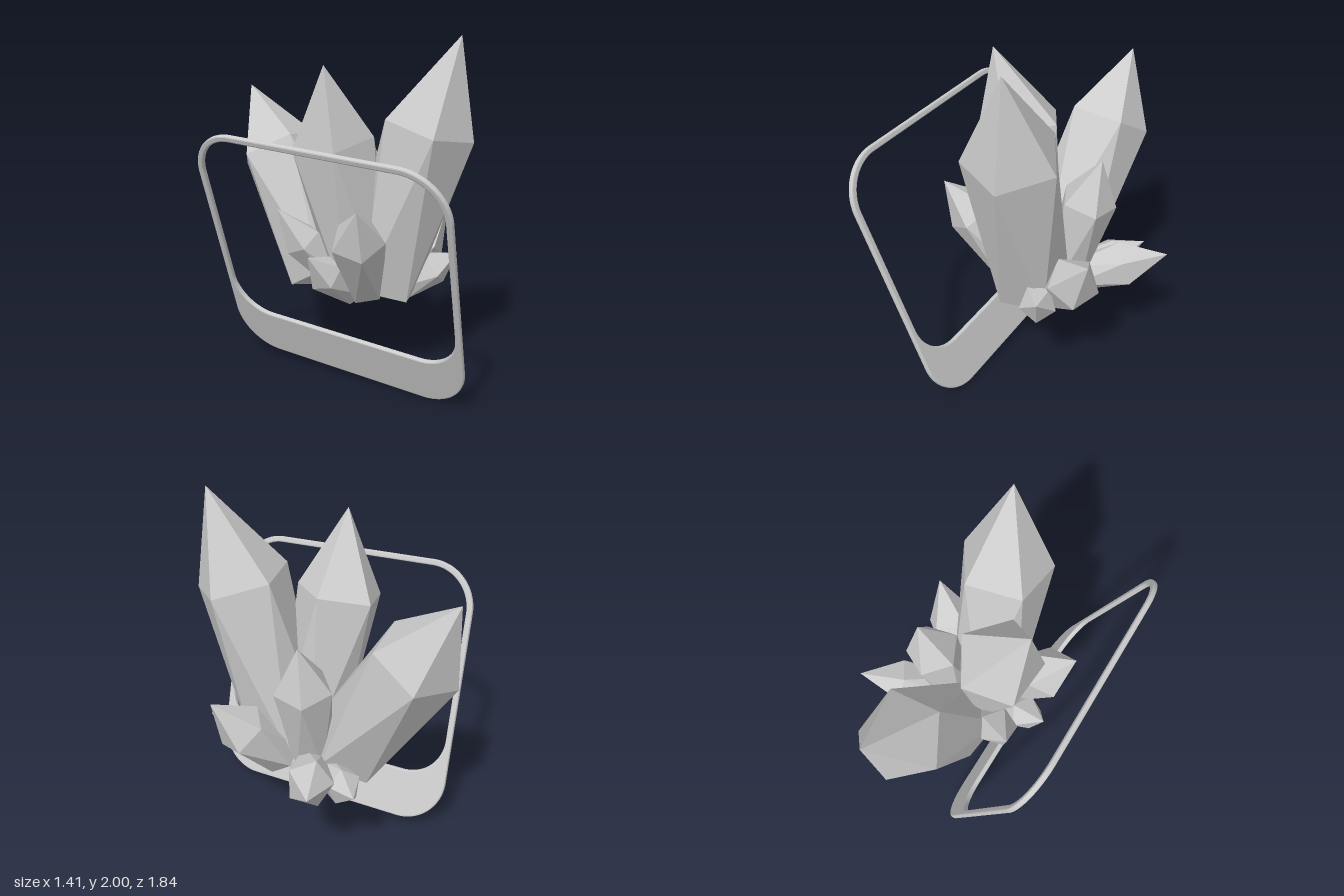
import * as THREE from 'three';

const material = new THREE.MeshStandardMaterial({ color: 0xcccccc, flatShading: true });
const V = (p) => new THREE.Vector3(...p);

// Five-sided crystal: tip, shoulder ring, root ring turned half a step, blunt point below
function crystal(name, { tip, mid, root, r, rootR, turn = 60 }) {
  const axis = V(tip).sub(V(root)).normalize();
  const e1 = new THREE.Vector3(1, 0, 0).addScaledVector(axis, -axis.x).normalize();
  const e2 = new THREE.Vector3().crossVectors(e1, axis);
  const ring = (centre, radius, shift) => Array.from({ length: 5 }, (_, i) => {
    const a = THREE.MathUtils.degToRad(turn + shift + i * 72);
    return V(centre)
      .addScaledVector(e1, radius * Math.cos(a))
      .addScaledVector(e2, radius * Math.sin(a));
  });
  const upper = ring(mid, r, 0);
  const lower = ring(root, rootR, 36);
  const top = V(tip);
  const bottom = V(root).addScaledVector(axis, -0.4 * rootR);
  const points = [];
  for (let i = 0; i < 5; i++) {
    const j = (i + 1) % 5;
    points.push(top, upper[j], upper[i]);
    points.push(upper[i], upper[j], lower[i]);
    points.push(lower[i], upper[j], lower[j]);
    points.push(lower[i], lower[j], bottom);
  }
  const geometry = new THREE.BufferGeometry().setFromPoints(points);
  geometry.computeVertexNormals();
  const mesh = new THREE.Mesh(geometry, material);
  mesh.name = name;
  return mesh;
}

// Rounded rectangle outline, for a shape or a hole
function roundedRect(path, x0, y0, x1, y1, r) {
  path.moveTo(x0 + r, y0);
  path.lineTo(x1 - r, y0);
  path.absarc(x1 - r, y0 + r, r, -Math.PI / 2, 0);
  path.lineTo(x1, y1 - r);
  path.absarc(x1 - r, y1 - r, r, 0, Math.PI / 2);
  path.lineTo(x0 + r, y1);
  path.absarc(x0 + r, y1 - r, r, Math.PI / 2, Math.PI);
  path.lineTo(x0, y0 + r);
  path.absarc(x0 + r, y0 + r, r, Math.PI, Math.PI * 1.5);
  return path;
}

// Thin photo-style frame with a deep lower border, leaning beside the crystals
function frame() {
  const shape = roundedRect(new THREE.Shape(), -0.765, -0.77, 0.765, 0.765, 0.27);
  shape.holes.push(roundedRect(new THREE.Path(), -0.73, -0.48, 0.73, 0.73, 0.235));
  const geometry = new THREE.ExtrudeGeometry(shape, {
    depth: 0.014, curveSegments: 16,
    bevelEnabled: true, bevelThickness: 0.008, bevelSize: 0.008, bevelOffset: -0.008, bevelSegments: 2,
  });
  geometry.translate(0, 0, -0.007);
  const u = new THREE.Vector3(0.345, -0.058, 0.937).normalize();
  const v = new THREE.Vector3(-0.309, 0.937, 0.163);
  v.addScaledVector(u, -v.dot(u)).normalize();
  const n = new THREE.Vector3().crossVectors(u, v);
  geometry.applyMatrix4(new THREE.Matrix4().makeBasis(u, v, n).setPosition(-0.252, 0.751, 0.113));
  const mesh = new THREE.Mesh(geometry, new THREE.MeshStandardMaterial({ color: 0xcccccc }));
  mesh.name = 'frame';
  return mesh;
}

export function createModel() {
  const model = new THREE.Group();
  model.name = 'crystalClusterWithFrame';
  model.add(frame());

  const cluster = new THREE.Group();
  cluster.name = 'crystalCluster';
  const crystals = {
    // Large crystals
    tallFrontCrystal: { tip: [0.42, 2, 0.4], mid: [0.32, 1.5, 0.265], root: [0.2, 0.55, 0.04], r: 0.265, rootR: 0.22, turn: 57 },
    tallSideCrystal: { tip: [-0.2, 1.85, 0], mid: [-0.07, 1.43, -0.09], root: [0.1, 0.56, -0.03], r: 0.24, rootR: 0.19, turn: 56 },
    tallBackCrystal: { tip: [-0.07, 1.66, -0.915], mid: [-0.03, 1.29, -0.7], root: [0.05, 0.58, -0.3], r: 0.25, rootR: 0.24, turn: 30 },
    middleCrystal: { tip: [0.39, 1.33, -0.28], mid: [0.33, 1.06, -0.25], root: [0.23, 0.54, -0.19], r: 0.16, rootR: 0.12, turn: 25 },
    // Short crystals fanning out around the foot
    leftCrystal: { tip: [0.7, 0.96, 0.07], mid: [0.54, 0.75, 0.02], root: [0.32, 0.51, -0.05], r: 0.15, rootR: 0.115, turn: 40 },
    leftFrontCrystal: { tip: [0.56, 0.73, 0.29], mid: [0.46, 0.64, 0.2], root: [0.31, 0.51, 0.07], r: 0.105, rootR: 0.085 },
    rightFrontCrystal: { tip: [-0.24, 1.12, 0.32], mid: [-0.13, 0.92, 0.2], root: [0.06, 0.56, 0.04], r: 0.155, rootR: 0.12, turn: 45 },
    rightCrystal: { tip: [-0.335, 0.82, 0.02], mid: [-0.2, 0.69, 0], root: [0.02, 0.53, -0.02], r: 0.11, rootR: 0.085, turn: 45 },
    rightBackCrystal: { tip: [-0.34, 1.04, -0.26], mid: [-0.2, 0.84, -0.21], root: [0.03, 0.55, -0.13], r: 0.115, rootR: 0.09 },
    leftBackCrystal: { tip: [0.62, 0.7, -0.62], mid: [0.46, 0.62, -0.45], root: [0.26, 0.52, -0.22], r: 0.13, rootR: 0.1, turn: 50 },
    backCrystal: { tip: [0.37, 0.62, -0.69], mid: [0.29, 0.56, -0.53], root: [0.21, 0.5, -0.27], r: 0.1, rootR: 0.08, turn: 20 },
  };
  for (const [name, spec] of Object.entries(crystals)) cluster.add(crystal(name, spec));
  model.add(cluster);
  return model;
}
